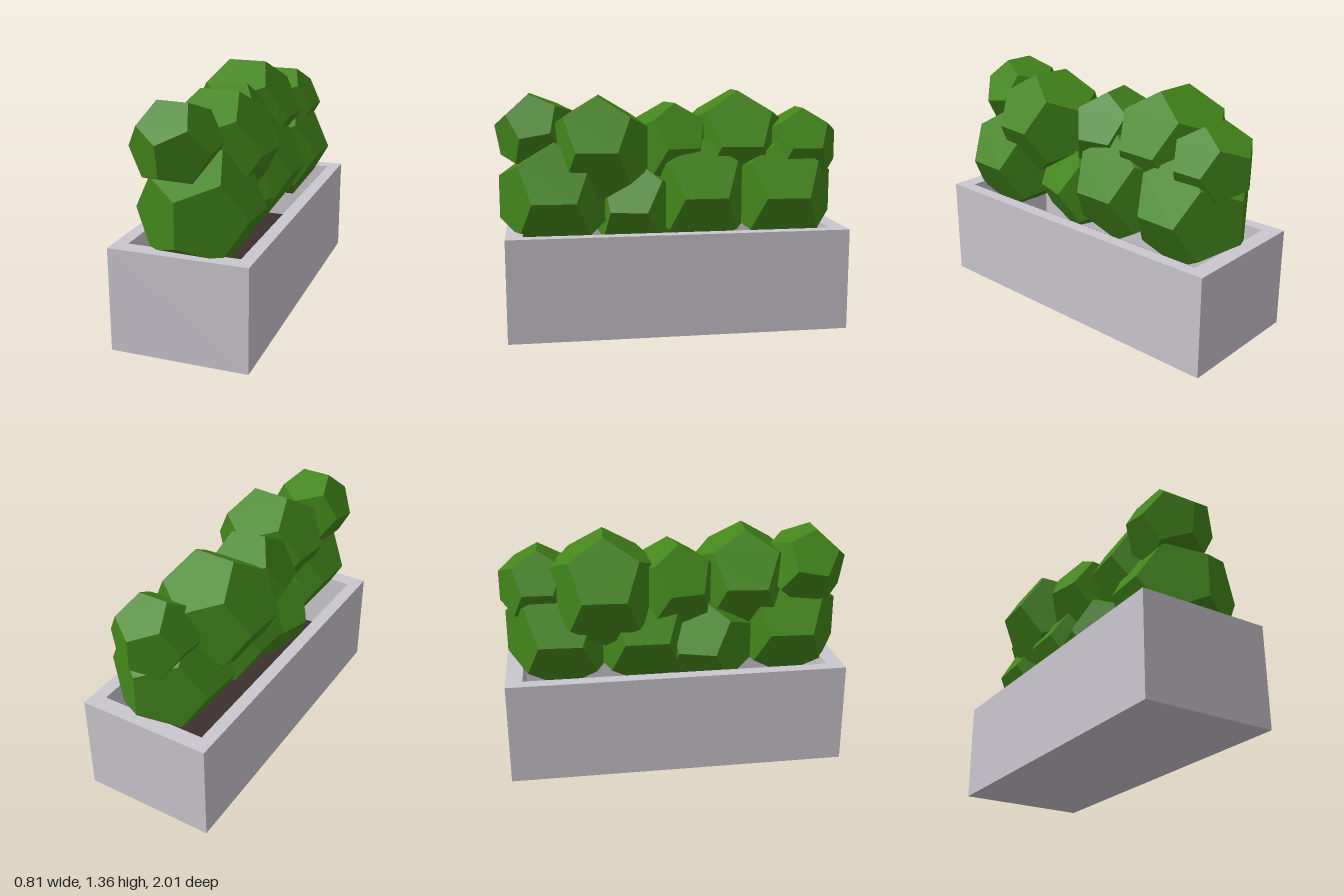
import * as THREE from 'three';

const paint = (color) => new THREE.MeshStandardMaterial({ color, flatShading: true });

// Rectangle path centred on the origin
function rect(PathType, w, d) {
  const p = new PathType();
  p.moveTo(-w / 2, -d / 2);
  p.lineTo(w / 2, -d / 2);
  p.lineTo(w / 2, d / 2);
  p.lineTo(-w / 2, d / 2);
  p.closePath();
  return p;
}

export function createModel() {
  const model = new THREE.Group();
  model.name = 'planterWithHedge';
  const stone = paint(0xcac6ce);
  const earth = paint(0x3d302e);
  const leaf = paint(0x43861b);

  const add = (name, geometry, material, x, y, z) => {
    const mesh = new THREE.Mesh(geometry, material);
    mesh.name = name;
    mesh.position.set(x, y, z);
    model.add(mesh);
    return mesh;
  };

  // Planter: hollow wall ring closed by a floor, filled with soil
  const height = 0.585, soilTop = 0.2, cx = 0.015, cz = -0.015;
  const outline = rect(THREE.Shape, 0.775, 1.94);
  outline.holes.push(rect(THREE.Path, 0.625, 1.75));
  const walls = new THREE.ExtrudeGeometry(outline, { depth: height, bevelEnabled: false });
  walls.rotateX(-Math.PI / 2);
  add('planterWalls', walls, stone, cx, 0, cz);
  add('planterFloor', new THREE.BoxGeometry(0.625, 0.05, 1.75), stone, cx, 0.025, cz);
  add('soil', new THREE.BoxGeometry(0.625, soilTop - 0.05, 1.75), earth, cx, (soilTop + 0.05) / 2, cz);

  // Foliage clumps: x, y, z, radius, tilt about x, turn about y
  const clumps = {
    lowerFoliage: [
      [0.04, 0.765, 0.67, 0.343, 0, -0.05],
      [-0.03, 0.685, 0.18, 0.3, 0, -0.3],
      [0.005, 0.77, -0.18, 0.343, 0, -0.03],
      [0.035, 0.765, -0.655, 0.343, 0, -0.05],
    ],
    upperFoliage: [
      [-0.05, 1.125, 0.77, 0.244, 0.18, -0.05],
      [0.05, 1.04, 0.42, 0.322, 0, -0.1],
      [-0.05, 1.04, -0.01, 0.272, 0, 0.2],
      [-0.085, 1.05, -0.41, 0.336, 0, -0.05],
      [0.045, 1.04, -0.775, 0.241, 0, -0.03],
    ],
  };
  for (const [name, list] of Object.entries(clumps)) {
    list.forEach(([x, y, z, r, tilt, turn], i) => {
      const clump = add(name + (i + 1), new THREE.DodecahedronGeometry(r), leaf, x, y, z);
      clump.rotation.set(tilt, turn, 0);
    });
  }
  return model;
}
